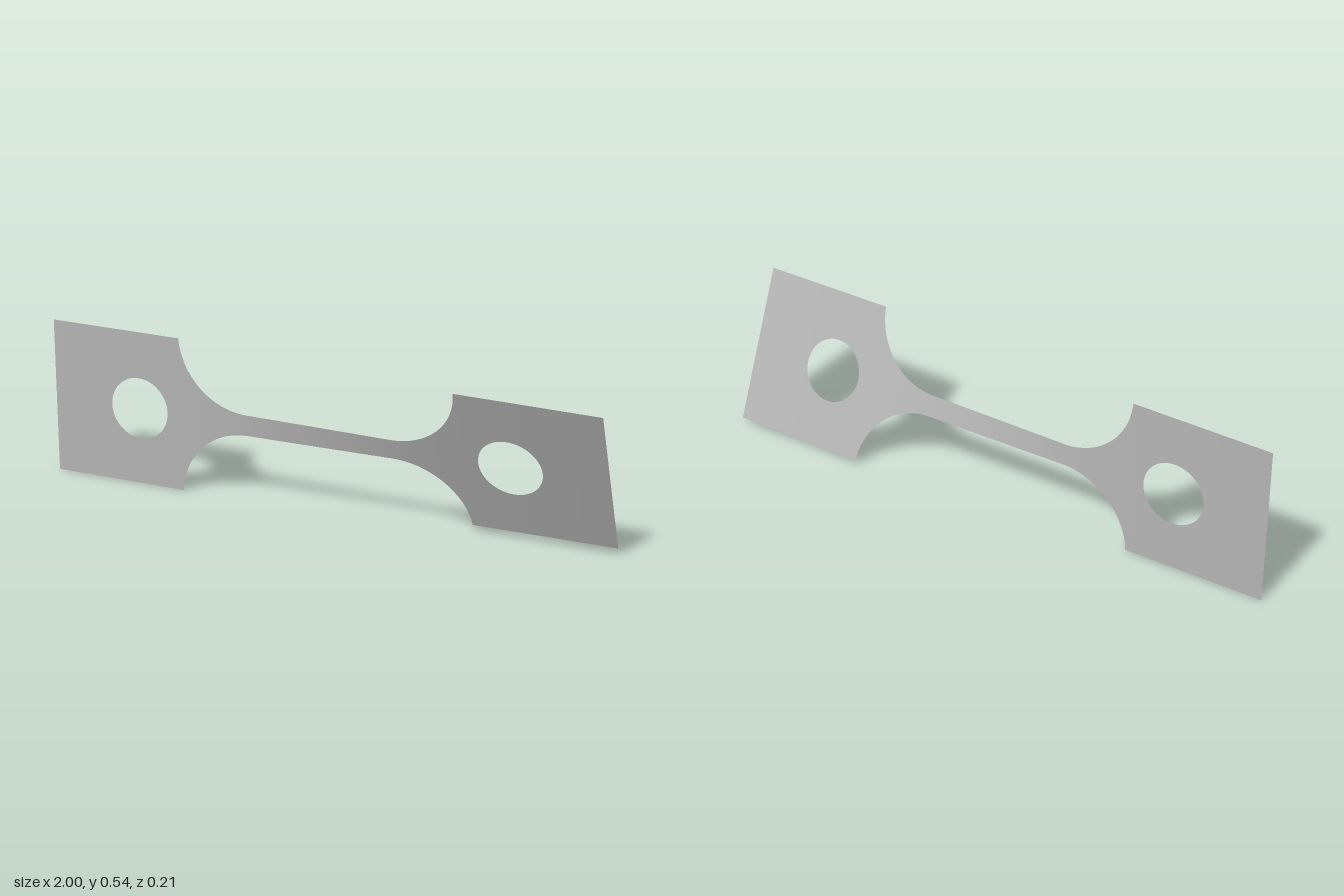
import * as THREE from 'three';

const TAB = 0.271, NECK = 0.037;      // half heights of tab and neck
const SHOULDER = 0.51, R = 0.25;      // tab end and fillet radius
const HOLE_X = 0.67, HOLE_R = 0.108;
const TWIST = THREE.MathUtils.degToRad(22.9);
const FILLET_X = SHOULDER - Math.sqrt(R * R - (NECK + R - TAB) ** 2);

// Half height of the strip's outline at x
function outer(x) {
  const a = Math.abs(x);
  if (a >= SHOULDER - 1e-9) return TAB;
  if (a <= FILLET_X) return NECK;
  return NECK + R - Math.sqrt(R * R - (a - FILLET_X) ** 2);
}

// Half height of the hole at x
function inner(x) {
  const d = Math.abs(x) - HOLE_X;
  return Math.sqrt(Math.max(0, HOLE_R * HOLE_R - d * d));
}

// Column positions, packed closer where the outline curves
function columns() {
  const half = [];
  const add = (n, f) => { for (let i = 0; i < n; i++) half.push(f(i / n)); };
  add(16, u => FILLET_X * u);
  const end = Math.asin((SHOULDER - FILLET_X) / R);
  add(24, u => FILLET_X + R * Math.sin(end * u));
  add(3, u => THREE.MathUtils.lerp(SHOULDER, HOLE_X - HOLE_R, u));
  add(40, u => HOLE_X - HOLE_R * Math.cos(Math.PI * u));
  add(8, u => THREE.MathUtils.lerp(HOLE_X + HOLE_R, 1, u));
  half.push(1);
  return [...half.slice(1).reverse().map(x => -x), ...half];
}

// Upper (side = 1) or lower (side = -1) half of the twisted strip
function halfStrip(xs, angles, rate, side) {
  const rows = 8, pos = [], nor = [], idx = [];
  xs.forEach((x, i) => {
    const s = Math.sin(angles[i]), c = Math.cos(angles[i]);
    for (let j = 0; j <= rows; j++) {
      const t = side * THREE.MathUtils.lerp(inner(x), outer(x), j / rows);
      pos.push(x, TAB + t * c, t * s);
      const n = new THREE.Vector3(-t * rate / outer(x), -s, c).normalize();
      nor.push(n.x, n.y, n.z);
      if (i === 0 || j === 0) continue;
      const d = i * (rows + 1) + j, b = d - rows - 1;
      if (side > 0) idx.push(b - 1, d - 1, d, b - 1, d, b);
      else idx.push(b - 1, d, d - 1, b - 1, b, d);
    }
  });
  const g = new THREE.BufferGeometry();
  g.setAttribute('position', new THREE.Float32BufferAttribute(pos, 3));
  g.setAttribute('normal', new THREE.Float32BufferAttribute(nor, 3));
  g.setIndex(idx);
  return g;
}

export function createModel() {
  const group = new THREE.Group();
  group.name = 'twistedTestStrip';
  const metal = new THREE.MeshStandardMaterial({ color: 0xb4b4b4, side: THREE.DoubleSide });
  metal.name = 'grey metal';

  // The twist builds up fastest where the strip is narrow
  const xs = columns();
  const sums = [0];
  for (let i = 1; i < xs.length; i++) {
    const mean = (1 / outer(xs[i - 1]) + 1 / outer(xs[i])) / 2;
    sums.push(sums[i - 1] + mean * (xs[i] - xs[i - 1]));
  }
  const rate = TWIST / sums[sums.length - 1];
  const angles = sums.map(v => v * rate);

  for (const [name, side] of [['upperHalf', 1], ['lowerHalf', -1]]) {
    const mesh = new THREE.Mesh(halfStrip(xs, angles, rate, side), metal);
    mesh.name = name;
    group.add(mesh);
  }
  return group;
}
